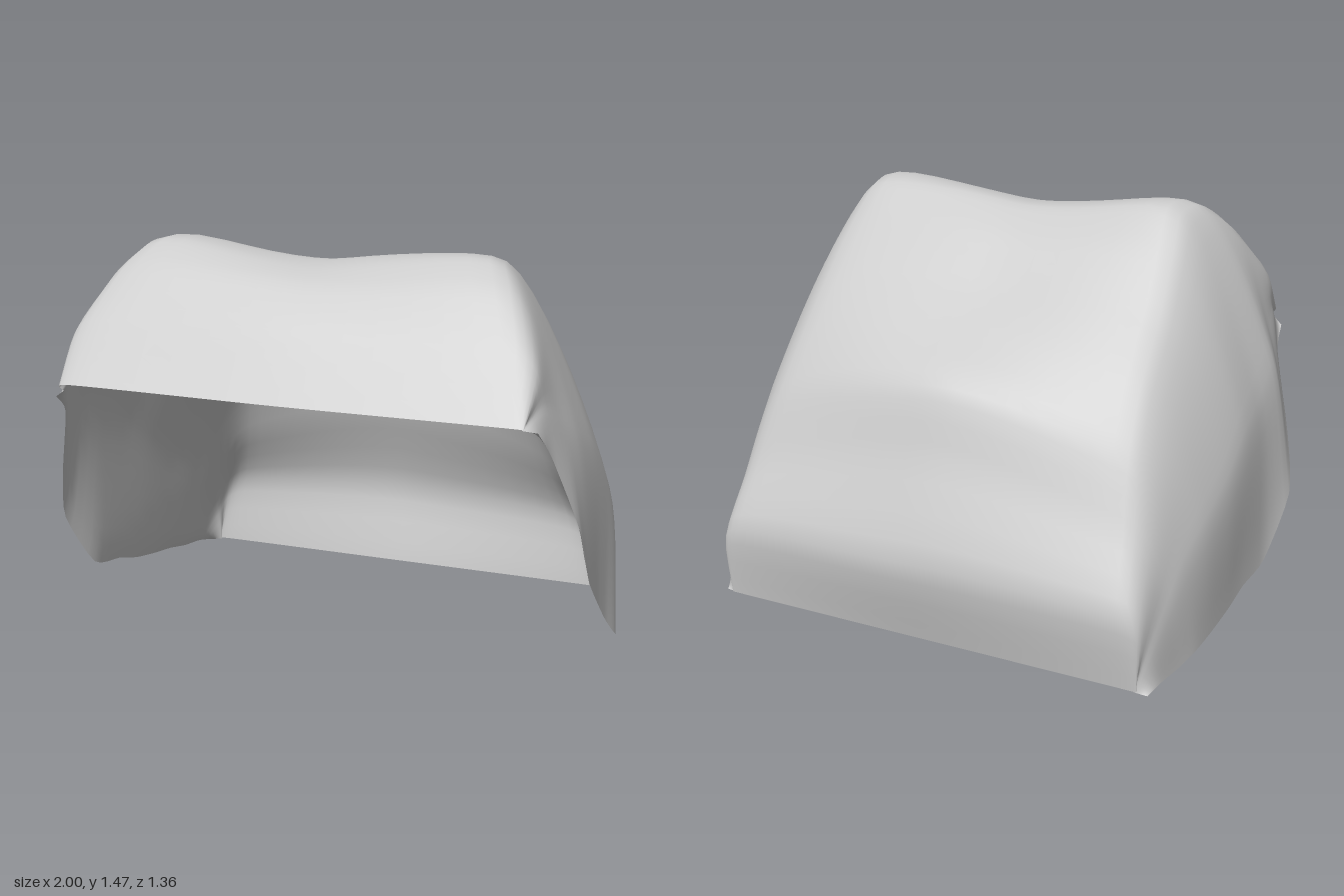
import * as THREE from 'three';

const V = (x, y, z) => new THREE.Vector3(x, y, z);

// Sections from the front lip, over the crest, to the foot of the back:
// crest [y, z], shoulder [x, y, z], left rim [x, y, z], right rim [x, y, z], wall bulge
const sections = [
  [[1.01, 0.68], [0.76, 1.01, 0.67], [0.86, 1.0, 0.66], [-0.85, 0.95, 0.62], 0],
  [[1.23, 0.54], [0.75, 1.21, 0.53], [0.88, 0.88, 0.53], [-0.87, 0.87, 0.53], 0.03],
  [[1.36, 0.41], [0.69, 1.37, 0.39], [0.96, 0.6, 0.42], [-0.96, 0.6, 0.42], 0.05],
  [[1.4, 0.29], [0.64, 1.44, 0.27], [0.97, 0.4, 0.31], [-1.0, 0.4, 0.35], 0.1],
  [[1.4, 0.16], [0.62, 1.43, 0.14], [0.97, 0.24, 0.12], [-0.96, 0.18, 0.22], 0.13],
  [[1.31, 0.01], [0.64, 1.31, 0.02], [0.98, 0.13, 0.0], [-0.94, 0.14, 0.06], 0.13],
  [[1.17, -0.13], [0.66, 1.13, -0.13], [1.0, 0.04, -0.1], [-0.93, 0.1, -0.06], 0.12],
  [[1.05, -0.29], [0.67, 0.94, -0.3], [0.97, 0.03, -0.22], [-0.92, 0.07, -0.2], 0.1],
  [[0.9, -0.48], [0.69, 0.75, -0.43], [0.94, 0.03, -0.32], [-0.91, 0.05, -0.32], 0.07],
  [[0.66, -0.56], [0.72, 0.52, -0.53], [0.91, 0.02, -0.42], [-0.89, 0.03, -0.42], 0.05],
  [[0.32, -0.68], [0.75, 0.28, -0.64], [0.88, 0.02, -0.52], [-0.87, 0.02, -0.52], 0.03],
  [[0.01, -0.61], [0.76, 0.01, -0.61], [0.84, 0.01, -0.6], [-0.85, 0.0, -0.6], 0],
];

// Smooth curve through points, sampled at even steps of its parameter
const sample = (points, n) => {
  const curve = new THREE.CatmullRomCurve3(points, false, 'catmullrom', 0.35);
  return Array.from({ length: n + 1 }, (_, i) => curve.getPoint(i / n));
};

// Rim, wall, shoulder, crest, shoulder, wall, rim across one section;
// tuck narrows the shoulders to soften the corner
function sectionPoints([crest, sh, leftRim, rightRim, bulge], tuck) {
  const half = (rim, side) => {
    const r = V(...rim);
    const s = V((sh[0] - tuck) * side, sh[1], sh[2]);
    const wall = r.clone().lerp(s, 0.5);
    wall.x += bulge * side;
    return [r, wall, s];
  };
  return [
    ...half(rightRim, -1),
    V(0, crest[0], crest[1]),
    ...half(leftRim, 1).reverse(),
  ];
}

// One layer of the hood, drawn in towards its core by inset and meeting the rim at zero;
// tuck rounds off its back corners
function layerGeometry(inset, tuck, across, along) {
  const core = V(0, 0.5, 0);
  const rows = sections.map((s, i) => {
    const weight = Math.max(0, Math.sin((Math.PI * (i - 4)) / 7));
    return sample(sectionPoints(s, tuck * weight), across);
  });
  const positions = [];
  const index = [];
  for (let u = 0; u <= across; u++) {
    const line = sample(rows.map((row) => row[u]), along);
    line.forEach((p, v) => {
      // Gentle unevenness, fading out at the edges
      const fade = Math.sin((Math.PI * u) / across) * Math.sin((Math.PI * v) / along);
      p.y += 0.006 * fade * (Math.sin(p.x * 9 + p.z * 5) + Math.sin(p.z * 11 - p.x * 6 + 1));
      p.lerp(core, inset * Math.sqrt(Math.max(0, fade)));
      positions.push(p.x, Math.max(0, p.y), p.z);
      if (u < across && v < along) {
        const a = u * (along + 1) + v;
        const b = a + along + 1;
        index.push(a, b, a + 1, b, b + 1, a + 1);
      }
    });
  }
  const geometry = new THREE.BufferGeometry();
  geometry.setAttribute('position', new THREE.Float32BufferAttribute(positions, 3));
  geometry.setIndex(index);
  geometry.computeVertexNormals();
  return geometry;
}

export function createModel() {
  const group = new THREE.Group();
  group.name = 'hood';
  const material = new THREE.MeshStandardMaterial({ color: 0xcccccc, side: THREE.DoubleSide });

  // Outer skin with lip, crest, side walls and sloping back, and the lining just inside it
  for (const [name, inset, tuck] of [['outerSkin', 0, 0], ['lining', 0.035, 0.1]]) {
    const layer = new THREE.Mesh(layerGeometry(inset, tuck, 48, 44), material);
    layer.name = name;
    group.add(layer);
  }
  return group;
}
